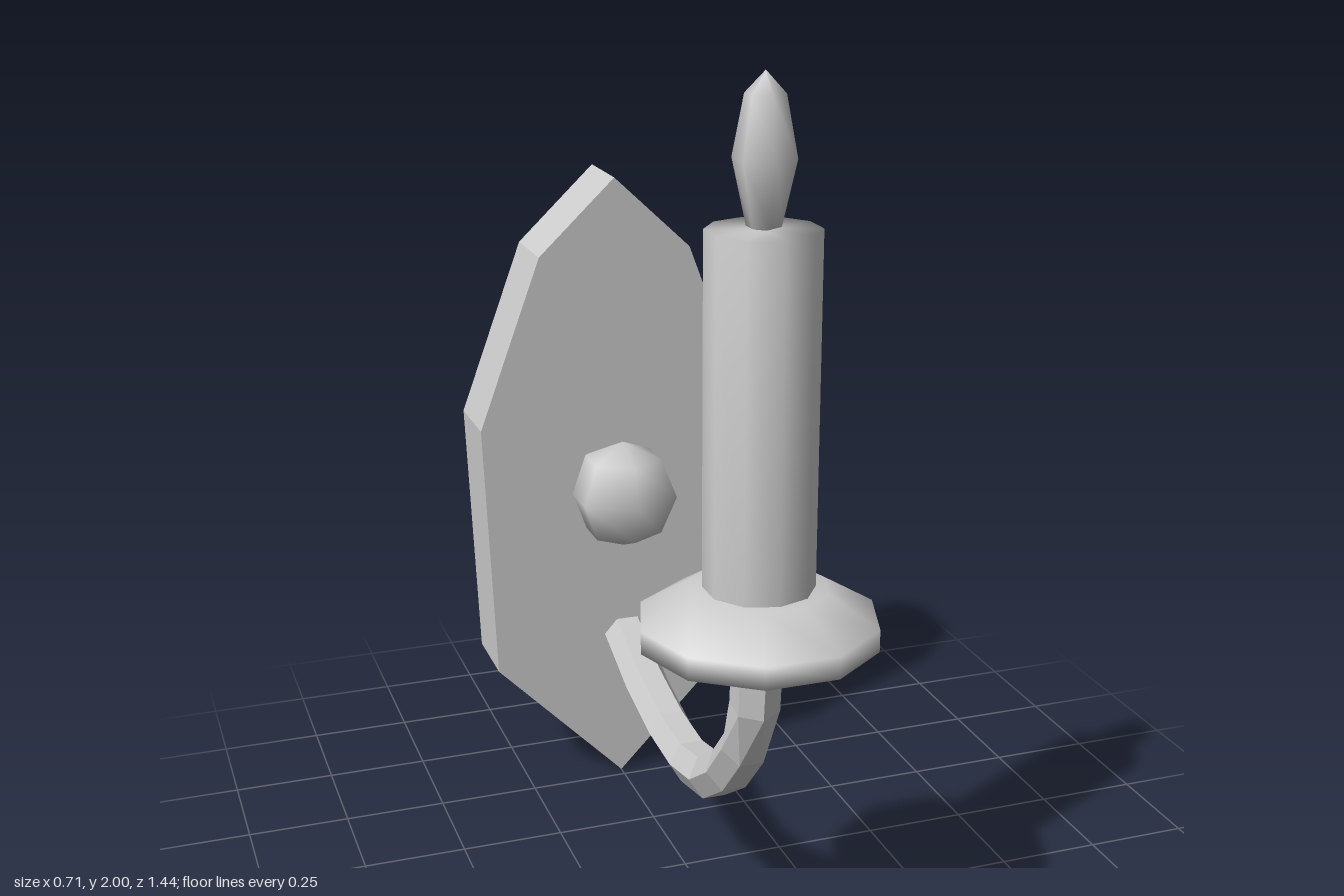
import * as THREE from 'three';

const CANDLE_Z = 0.47;

function material(flatShading = false) {
  return new THREE.MeshStandardMaterial({ color: 0xcccccc, flatShading });
}

function addMesh(group, name, geometry, flat) {
  const mesh = new THREE.Mesh(geometry, material(flat));
  mesh.name = name;
  group.add(mesh);
  return mesh;
}

// Smooth turned part standing on the candle axis, profile as [radius, y]
function addTurned(group, name, profile, sides) {
  const points = profile.map(([r, y]) => new THREE.Vector2(r, y));
  const mesh = addMesh(group, name, new THREE.LatheGeometry(points, sides), false);
  mesh.position.z = CANDLE_Z;
  return mesh;
}

// Hexagonal rod along a [z, y, twist] path lying in the x = 0 plane, capped at both ends
function rodGeometry(path, radius, sides) {
  const positions = [];
  const index = [];
  const last = path.length - 1;
  path.forEach(([z, y, twist = 0], i) => {
    const [z0, y0] = path[Math.max(i - 1, 0)];
    const [z1, y1] = path[Math.min(i + 1, last)];
    const len = Math.hypot(z1 - z0, y1 - y0);
    const tz = (z1 - z0) / len;
    const ty = (y1 - y0) / len;
    for (let j = 0; j < sides; j++) {
      const a = (j / sides) * Math.PI * 2 + twist;
      const up = Math.sin(a) * radius;
      positions.push(Math.cos(a) * radius, y + up * tz, z - up * ty);
    }
  });
  for (let i = 0; i < last; i++) {
    for (let j = 0; j < sides; j++) {
      const a = i * sides + j;
      const b = i * sides + ((j + 1) % sides);
      index.push(a, b, a + sides, b, b + sides, a + sides);
    }
  }
  for (let j = 1; j < sides - 1; j++) {
    const end = last * sides;
    index.push(0, j + 1, j, end, end + j, end + j + 1);
  }
  const geometry = new THREE.BufferGeometry();
  geometry.setAttribute('position', new THREE.Float32BufferAttribute(positions, 3));
  geometry.setIndex(index);
  geometry.computeVertexNormals();
  return geometry;
}

export function createModel() {
  const group = new THREE.Group();
  group.name = 'candleSconce';

  // Wall plate: mirrored shield outline
  const half = [[0, 0], [0.33, 0.34], [0.355, 1.0], [0.195, 1.43], [0, 1.615]];
  const mirrored = half.slice(1, -1).reverse().map(([x, y]) => [-x, y]);
  const outline = [...half, ...mirrored].map(([x, y]) => new THREE.Vector2(x, y));
  const plate = addMesh(group, 'wallPlate', new THREE.ExtrudeGeometry(
    new THREE.Shape(outline), { depth: 0.19, bevelEnabled: false }), true);
  plate.position.z = -0.718;

  // Round knob half sunk in the plate
  const knob = addMesh(group, 'knob', new THREE.SphereGeometry(0.14, 6, 4), false);
  knob.rotation.y = Math.PI / 2;
  knob.position.set(0, 0.81, -0.483);

  // Curved arm, twisting a little below the dish
  const turn = Math.PI / 6;
  const path = [
    [-0.477, 0.43], [-0.295, 0.358], [-0.112, 0.317], [0.045, 0.308], [0.185, 0.337],
    [0.302, 0.415], [0.4, 0.52], [0.455, 0.643, turn], [0.468, 0.8, turn],
  ];
  addMesh(group, 'arm', rodGeometry(path, 0.056, 6), true);

  // Drip dish
  const dish = addTurned(group, 'dripDish', [
    [0, 0.785], [0.06, 0.787], [0.262, 0.81], [0.262, 0.86], [0.15, 0.928], [0, 0.928],
  ], 10);
  dish.rotation.y = Math.PI / 2;

  // Candle and flame
  addTurned(group, 'candle', [[0.12, 0.9], [0.12, 1.69], [0, 1.69]], 10);
  addTurned(group, 'flame', [
    [0, 1.685], [0.036, 1.695], [0.066, 1.83], [0.042, 1.955], [0, 2],
  ], 6);

  return group;
}
